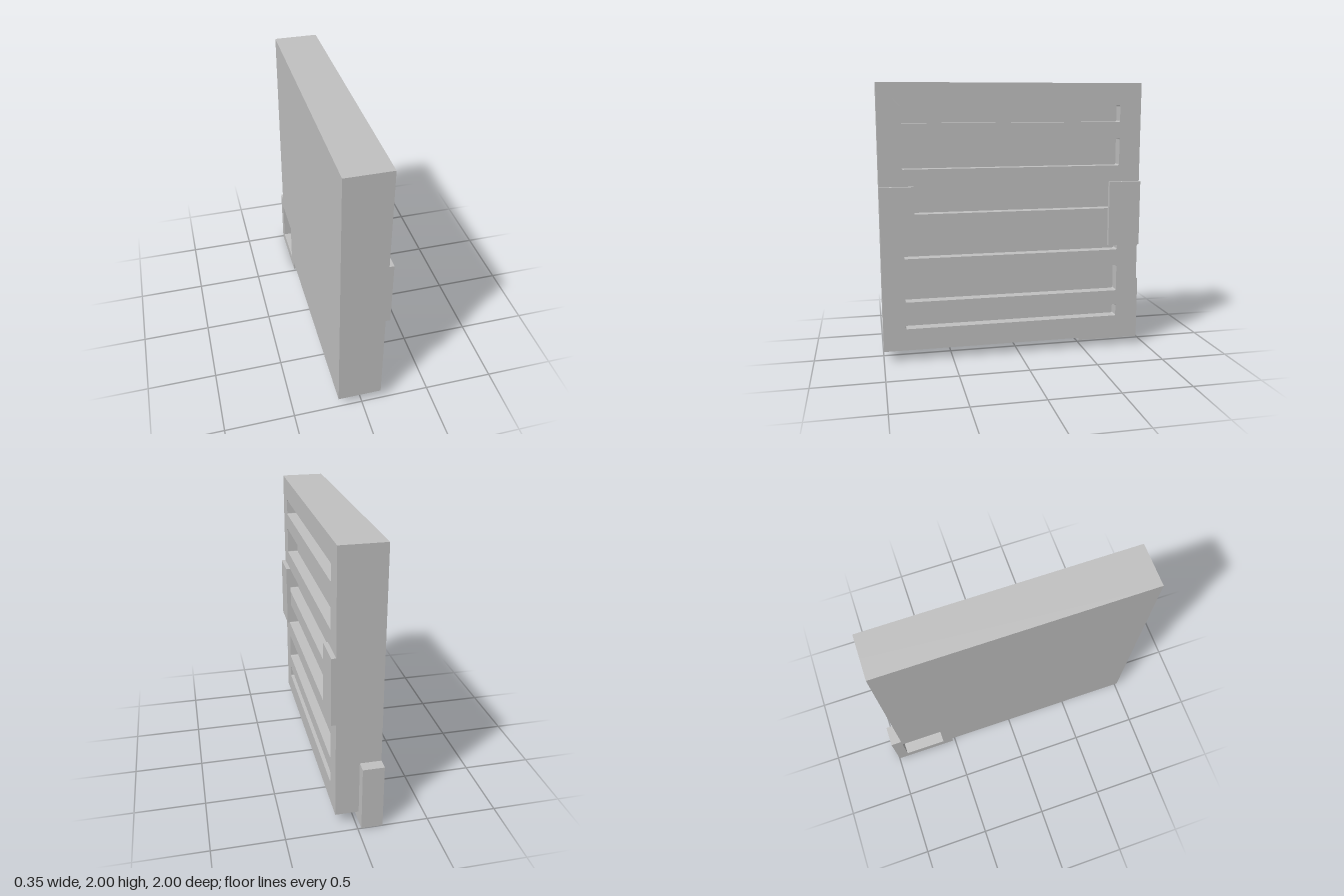
import * as THREE from 'three';

// Profiles are drawn as (u, y) with u = -z, then extruded along +x.
function slab(name, shape, x0, x1, material) {
  const geo = new THREE.ExtrudeGeometry(shape, { depth: x1 - x0, bevelEnabled: false, curveSegments: 4 });
  geo.rotateY(Math.PI / 2);
  geo.translate(x0, 0, 0);
  const mesh = new THREE.Mesh(geo, material);
  mesh.name = name;
  return mesh;
}

function polygon(points, Type = THREE.Shape) {
  return new Type(points.map(([u, y]) => new THREE.Vector2(u, y)));
}

function rect(u0, u1, y0, y1, Type = THREE.Shape) {
  return polygon([[u0, y0], [u1, y0], [u1, y1], [u0, y1]], Type);
}

// Slot opening with slightly rounded corners
function slotPath(u0, u1, y0, y1, r = 0.01) {
  const p = new THREE.Path();
  p.absarc(u1 - r, y0 + r, r, -Math.PI / 2, 0);
  p.absarc(u1 - r, y1 - r, r, 0, Math.PI / 2);
  p.absarc(u0 + r, y1 - r, r, Math.PI / 2, Math.PI);
  p.absarc(u0 + r, y0 + r, r, Math.PI, Math.PI * 1.5);
  p.closePath();
  return p;
}

export function createModel() {
  const grey = new THREE.MeshStandardMaterial({ color: 0xc0c0c0 });
  grey.name = 'grey';
  const model = new THREE.Group();
  model.name = 'slottedPanel';

  const BACK = -0.175, MID = -0.025, SLOT = 0.06, FACE = 0.14;
  const U0 = -1, U1 = 0.92, Y0 = 0.08, Y1 = 2;

  // Slotted face plate
  const face = rect(U0, U1, Y0, Y1);
  const slots = [[0.24, 0.33], [0.44, 0.64], [0.76, 0.96], [1.08, 1.28], [1.4, 1.6], [1.72, 1.84]];
  for (const [a, b] of slots) face.holes.push(slotPath(-0.84, 0.76, a, b));
  model.add(slab('slottedFace', face, SLOT, FACE, grey));

  // Solid core behind the slots
  model.add(slab('core', rect(U0, U1, Y0, Y1), MID, SLOT, grey));

  // Rear layer with the corner bracket and its square pocket
  const rear = polygon([
    [U0, Y0], [0.52, Y0], [0.52, 0], [1, 0], [1, 0.48], [U1, 0.48], [U1, Y1], [U0, Y1],
  ]);
  rear.holes.push(rect(0.6, 0.92, 0.08, 0.4, THREE.Path));
  model.add(slab('rearWithBracket', rear, BACK, MID, grey));

  // Step inside the upper half of the pocket
  model.add(slab('pocketStep', rect(0.6, 0.92, 0.24, 0.4), MID - 0.05, MID, grey));

  // Raised pads at the two ends of the face
  for (const [name, u0, u1] of [['frontPad', -1, -0.76], ['backPad', 0.68, 0.92]]) {
    model.add(slab(name, rect(u0, u1, 0.8, 1.28), FACE, 0.172, grey));
  }
  return model;
}
